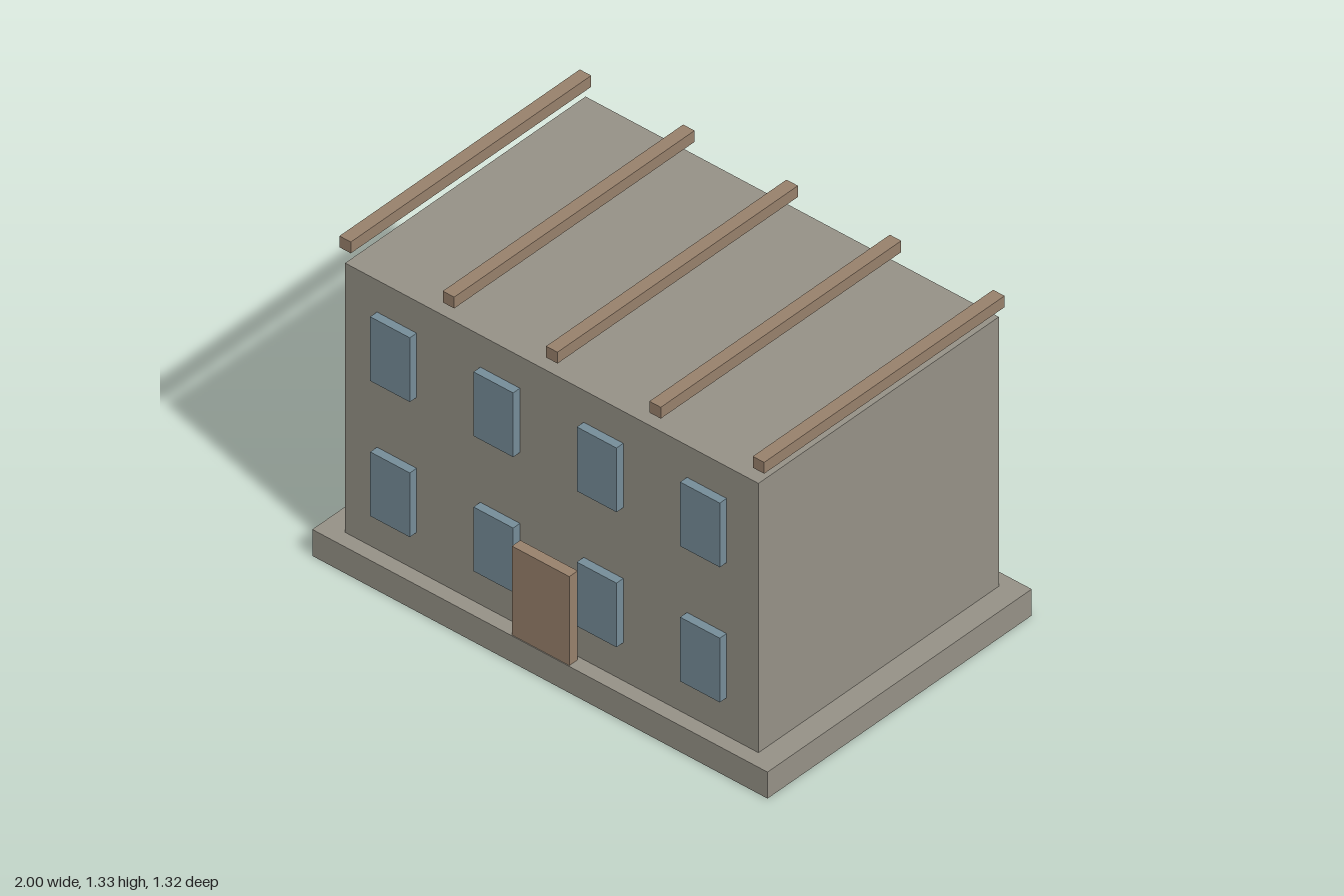
import * as THREE from 'three';

const material = (name, color) => {
  const m = new THREE.MeshStandardMaterial({ color });
  m.name = name;
  return m;
};

export function createModel() {
  const model = new THREE.Group();
  model.name = 'house';
  const stone = material('stone', 0x969287);
  const wood = material('wood', 0x98816c);
  const glass = material('glass', 0x768d99);

  // Adds a box given by its centre in x and z, its bottom, and its size
  const box = (name, mat, [w, h, d], x, bottom, z) => {
    const mesh = new THREE.Mesh(new THREE.BoxGeometry(w, h, d), mat);
    mesh.name = name;
    mesh.position.set(x, bottom + h / 2, z);
    model.add(mesh);
  };

  // Foundation slab and walls
  box('foundation', stone, [2, 0.11, 1.323], 0, 0, 0);
  box('walls', stone, [1.816, 1.12, 1.204], 0, 0.11, 0);

  // Door, standing slightly clear of the front wall
  box('door', wood, [0.252, 0.37, 0.042], 0, 0.11, 0.637);

  // Two rows of four windows on the front and the back
  for (const z of [0.619, -0.619]) {
    for (const bottom of [0.268, 0.83]) {
      for (let i = 0; i < 4; i++) {
        box('window', glass, [0.174, 0.267, 0.034], (i - 1.5) * 0.454, bottom, z);
      }
    }
  }

  // Roof beams floating above the flat roof
  for (let i = -2; i <= 2; i++) {
    box('roofBeam', wood, [0.05, 0.047, 1.204], i * 0.454, 1.283, 0);
  }

  return model;
}
